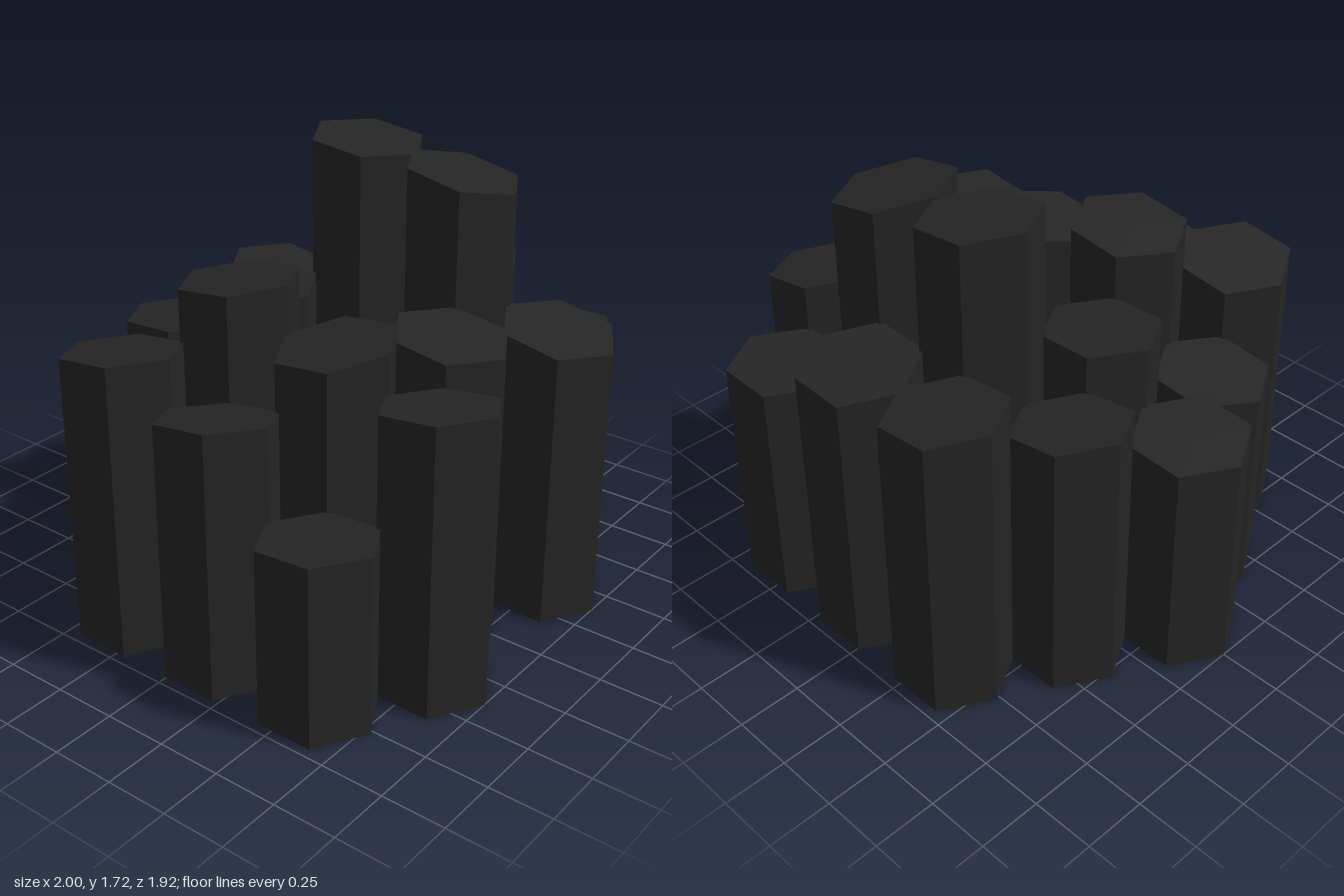
import * as THREE from 'three';

const RADIUS = 0.2285;   // hexagon corner radius
const PITCH = 0.441;     // spacing of columns along a row
const ROW = 0.382;       // spacing between rows

// Each column: [centre height, slope along x, slope along z]; null leaves a gap
const rows = [
  { z: -2, x: -0.3305, columns: [[1.19, -0.1, 0.03], [1.167, 0.04, 0.13], [0.96, 0.02, 0.01]] },
  { z: -1, x: -0.551, columns: [[1.055, -0.16, -0.04], [1.695, -0.108, 0.012], [1.643, -0.19, 0.09], [1.128, -0.18, -0.015]] },
  { z: 0, x: -0.7715, columns: [[0.917, 0.055, 0.045], [1.17, -0.04, -0.05], null, [1.175, -0.133, 0]] },
  { z: 1, x: -0.551, columns: [[0.896, 0.1, 0], [1.354, 0.12, 0.012], [1.215, 0.108, -0.114], [1.107, 0.12, 0.12]] },
  { z: 2, x: -0.3305, columns: [[1.143, 0.125, 0.1], [1.01, 0.135, 0.18], [0.693, 0.07, 0.078]] },
];

// Hexagonal prism standing on y = 0 with a slanted top
function columnGeometry(height, slopeX, slopeZ) {
  const prism = new THREE.CylinderGeometry(RADIUS, RADIUS, 1, 6, 1, false, Math.PI / 2);
  const p = prism.attributes.position;
  for (let i = 0; i < p.count; i++) {
    const top = height + slopeX * p.getX(i) + slopeZ * p.getZ(i);
    p.setY(i, p.getY(i) > 0 ? top : 0);
  }
  const faceted = prism.toNonIndexed();
  faceted.computeVertexNormals();
  return faceted;
}

export function createModel() {
  const model = new THREE.Group();
  model.name = 'basaltColumns';
  const basalt = new THREE.MeshStandardMaterial({ color: 0x252525 });
  basalt.name = 'dark basalt';

  // Staggered rows of columns, back to front
  rows.forEach((row, r) => {
    row.columns.forEach((column, i) => {
      if (!column) return;
      const mesh = new THREE.Mesh(columnGeometry(...column), basalt);
      mesh.name = `columnRow${r + 1}Number${i + 1}`;
      mesh.position.set(row.x + i * PITCH, 0, row.z * ROW);
      model.add(mesh);
    });
  });
  return model;
}
